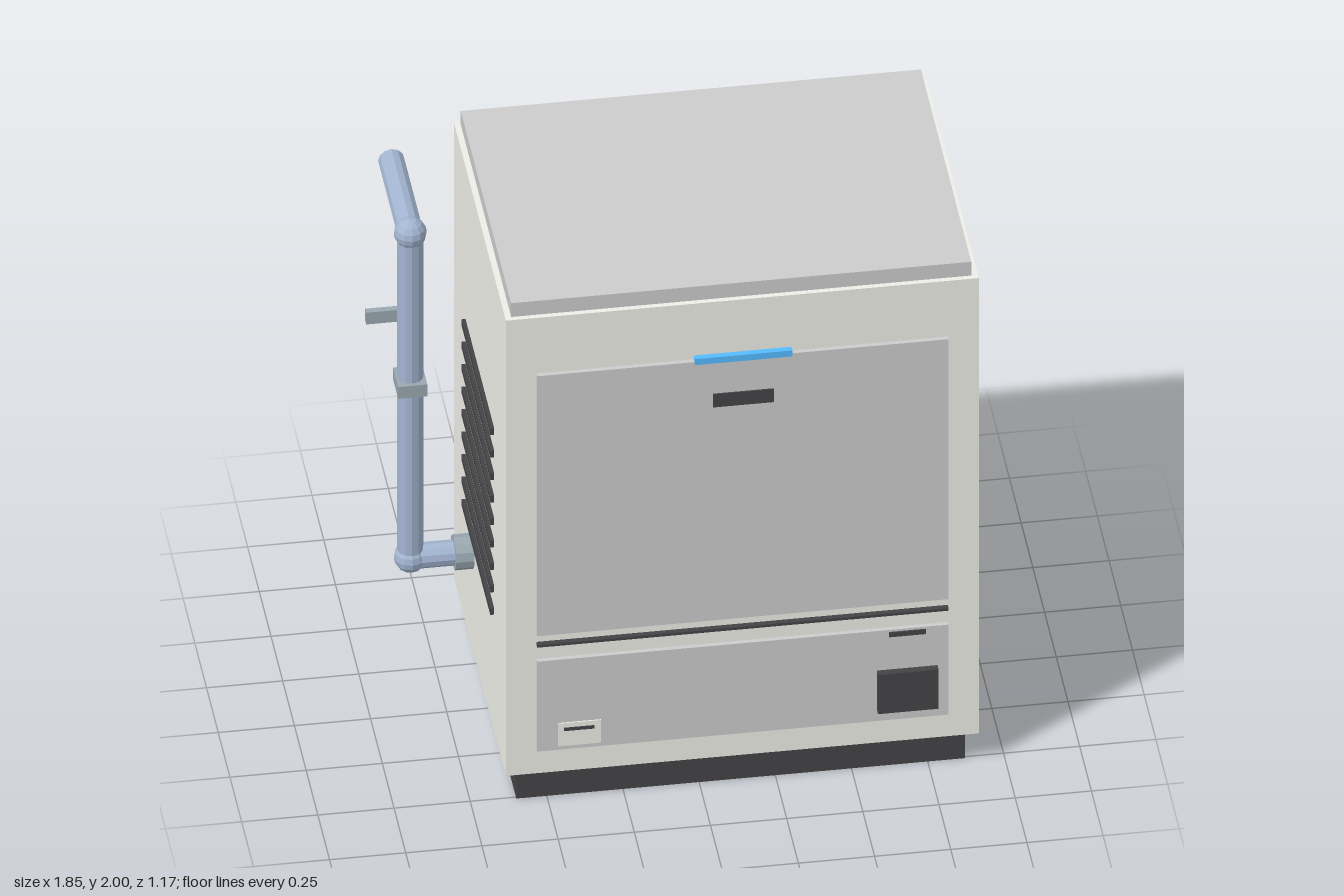
import * as THREE from 'three';

const paint = (color) => new THREE.MeshStandardMaterial({ color, flatShading: true });

export function createModel() {
  const model = new THREE.Group();
  model.name = 'machine';
  const cream = paint(0xeeeee8), grey = paint(0xcccccc), dark = paint(0x444446);
  const blue = paint(0x55bbff), steel = paint(0xa3b5d1), fitting = paint(0x9aa8b0);

  const add = (name, geometry, material, x, y, z, parent = model) => {
    const mesh = new THREE.Mesh(geometry, material);
    mesh.name = name;
    mesh.position.set(x, y, z);
    parent.add(mesh);
    return mesh;
  };
  // Box given by its lower and upper limits on each axis
  const box = (name, material, [x0, x1], [y0, y1], [z0, z1], parent) =>
    add(name, new THREE.BoxGeometry(x1 - x0, y1 - y0, z1 - z0), material,
      (x0 + x1) / 2, (y0 + y1) / 2, (z0 + z1) / 2, parent);

  // Cabinet
  box('plinth', dark, [-0.6, 0.873], [0, 0.122], [-0.527, 0.508]);
  box('cabinet', cream, [-0.64, 0.912], [0.122, 1.945], [-0.566, 0.546]);
  box('lid', grey, [-0.62, 0.89], [1.945, 2], [-0.548, 0.528]);

  // Front panels and their fittings
  const front = 0.546, face = 0.562;
  box('door', grey, [-0.54, 0.81], [0.682, 1.723], [front, face]);
  box('doorHandle', blue, [-0.023, 0.297], [1.714, 1.738], [front, 0.567]);
  box('doorSlot', dark, [0.037, 0.236], [1.538, 1.59], [face, 0.567]);
  box('seam', dark, [-0.54, 0.81], [0.638, 0.648], [front, 0.565]);
  box('lowerPanel', grey, [-0.54, 0.81], [0.22, 0.58], [front, face]);
  box('panelLatch', dark, [0.615, 0.735], [0.554, 0.572], [face, 0.567]);
  box('controlBox', dark, [0.575, 0.774], [0.265, 0.422], [face, 0.587]);
  box('namePlate', cream, [-0.472, -0.331], [0.236, 0.327], [face, 0.566]);
  box('plateSlot', dark, [-0.452, -0.352], [0.297, 0.309], [0.566, 0.569]);

  // Side louvres
  const louvres = new THREE.Group();
  louvres.name = 'louvres';
  model.add(louvres);
  for (const [x0, x1] of [[-0.653, -0.64], [0.912, 0.924]]) {
    for (let i = 0; i < 9; i++) {
      const y = 0.603 + i * 0.09;
      box('louvre', dark, [x0, x1], [y - 0.013, y + 0.013], [-0.315, 0.297], louvres);
    }
  }

  // Outside pipe run with elbows, collar and clamps
  const pipe = new THREE.Group();
  pipe.name = 'pipe';
  model.add(pipe);
  const px = -0.842, pz = -0.182, low = 0.503, high = 1.8;
  const tube = (name, material, r, from, to) => {
    const a = new THREE.Vector3(...from), b = new THREE.Vector3(...to);
    const dir = b.clone().sub(a);
    const mid = a.clone().add(b).multiplyScalar(0.5);
    const mesh = add(name, new THREE.CylinderGeometry(r, r, dir.length(), 12), material,
      mid.x, mid.y, mid.z, pipe);
    mesh.quaternion.setFromUnitVectors(new THREE.Vector3(0, 1, 0), dir.normalize());
  };
  tube('riser', steel, 0.043, [px, low, pz], [px, high, pz]);
  tube('inletPipe', steel, 0.043, [px, low, pz], [-0.64, low, pz]);
  tube('outletPipe', steel, 0.043, [px, high, pz], [px, high, -0.588]);
  tube('collar', fitting, 0.059, [-0.7, low, pz], [-0.635, low, pz]);
  for (const y of [low, high]) {
    add('elbow', new THREE.SphereGeometry(0.054, 12, 8), steel, px, y, pz, pipe);
  }
  box('clamp', fitting, [px - 0.048, px + 0.048], [1.178, 1.225], [pz - 0.055, pz + 0.055], pipe);
  box('wallBracket', fitting, [px - 0.088, px + 0.088], [1.178, 1.225], [-0.572, -0.549], pipe);

  return model;
}
